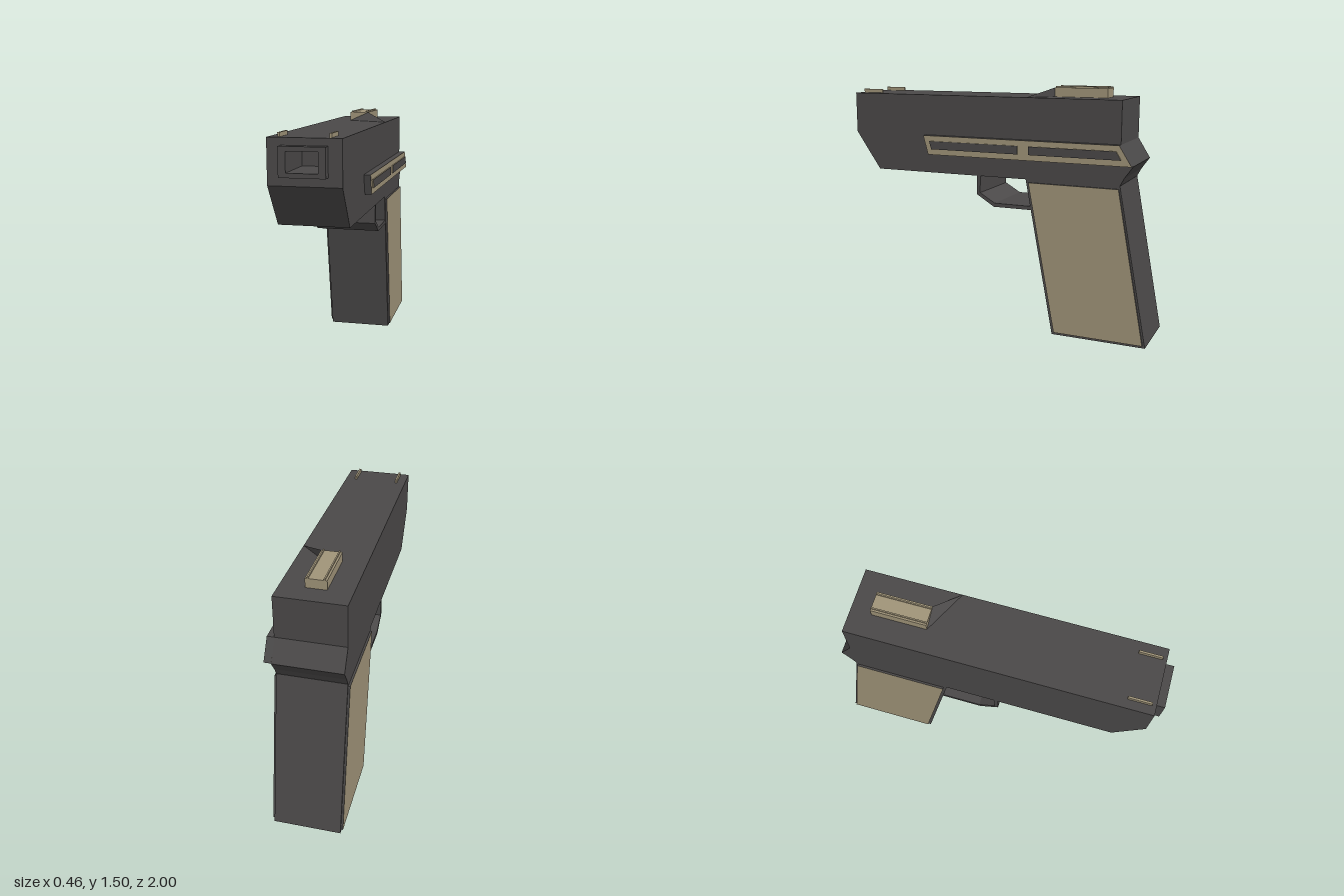
import * as THREE from 'three';
import { ConvexGeometry } from 'three/addons/geometries/ConvexGeometry.js';

const paint = (color) => new THREE.MeshStandardMaterial({ color, flatShading: true });
const LEFT = 0.18, RIGHT = -0.22, MID = -0.02, TOP = 1.44;
const RAKE = 0.188; // how far the grip leans back per unit of height

export function createModel() {
  const group = new THREE.Group();
  const dark = paint(0x4b4949), tan = paint(0xa09479);

  const add = (name, geometry, material) => {
    const mesh = new THREE.Mesh(geometry, material);
    mesh.name = name;
    group.add(mesh);
    return mesh;
  };
  const toShape = (points) => new THREE.Shape(points.map(([a, b]) => new THREE.Vector2(a, b)));
  const rect = (x0, y0, x1, y1) => [[x0, y0], [x1, y0], [x1, y1], [x0, y1]];

  // Side profile of [z, y] points, extruded across x
  const profile = (name, points, x0, x1, material) => {
    const geometry = new THREE.ExtrudeGeometry(toShape(points), { depth: x1 - x0, bevelEnabled: false });
    geometry.rotateY(-Math.PI / 2).translate(x1, 0, 0);
    return add(name, geometry, material);
  };
  // Rectangular tube along the extrusion axis
  const tube = (outer, inner, depth) => {
    const shape = toShape(outer);
    shape.holes.push(toShape(inner));
    return new THREE.ExtrudeGeometry(shape, { depth, bevelEnabled: false });
  };
  const box = (name, x0, x1, y0, y1, z0, z1, material) =>
    add(name, new THREE.BoxGeometry(x1 - x0, y1 - y0, z1 - z0)
      .translate((x0 + x1) / 2, (y0 + y1) / 2, (z0 + z1) / 2), material);
  // Lean a geometry back towards its foot
  const lean = (geometry) => {
    const p = geometry.attributes.position;
    for (let i = 0; i < p.count; i++) p.setZ(i, p.getZ(i) + RAKE * p.getY(i));
    geometry.computeVertexNormals();
    return geometry;
  };

  // Body with rear ridge and sloped nose; the upper nose is a hollow block
  profile('body', [
    [0.7, TOP], [-0.82, TOP], [-0.82, 1.19], [-0.895, 1.07], [-0.845, 1.0],
    [-0.82, 0.953], [0.785, 0.953], [0.95, 1.19], [0.7, 1.19],
  ], RIGHT, LEFT, dark);
  const bore = rect(-0.105, 1.265, 0.065, 1.375);
  add('nose', tube(rect(RIGHT, 1.19, LEFT, TOP), bore, 0.25).translate(0, 0, 0.7), dark);
  add('muzzle', tube(rect(-0.145, 1.24, 0.105, 1.4), bore, 0.05).translate(0, 0, 0.95), dark);

  // Leaning hollow grip with a tan lining
  const zFront = -0.42, zBack = -1, wall = 0.06;
  const grip = tube(rect(RIGHT, -zFront, LEFT, -zBack),
    rect(RIGHT + wall, -zFront + wall, LEFT - wall, -zBack - wall), 0.953);
  add('grip', lean(grip.rotateX(-Math.PI / 2)), dark);

  const lining = new THREE.BoxGeometry(0.279, 0.75, 0.459);
  const faces = Array.from(lining.index.array);
  lining.setIndex([...faces.slice(0, 18), ...faces.slice(24)]); // open at the bottom
  lining.scale(-1, 1, 1).translate(MID, 0.376, (zFront + zBack) / 2);
  add('gripLining', lean(lining), tan);

  // Grip side panels
  const panel = [[-0.262, 0.935], [-0.815, 0.935], [-0.985, 0.016], [-0.436, 0.016]];
  profile('leftGripPanel', panel, LEFT - 0.002, LEFT + 0.012, [tan, dark]);
  profile('rightGripPanel', panel, RIGHT - 0.012, RIGHT + 0.002, [tan, dark]);

  // Full-width trigger guard strip
  profile('triggerGuard', [
    [0.082, 0.955], [0.085, 0.838], [-0.03, 0.767], [-0.29, 0.767],
    [-0.29, 0.79], [-0.037, 0.79], [0.062, 0.848], [0.06, 0.955],
  ], RIGHT, LEFT, dark);

  // Side rail on the left only, with two raised inserts
  profile('sideRail', [[0.435, 1.19], [-0.82, 1.19], [-0.895, 1.072], [0.402, 1.072]],
    LEFT - 0.002, 0.22, [tan, dark]);
  profile('frontRailInsert', [[0.39, 1.157], [-0.205, 1.157], [-0.205, 1.107], [0.375, 1.107]],
    0.218, 0.228, [dark, tan]);
  profile('rearRailInsert', [[-0.275, 1.157], [-0.805, 1.157], [-0.835, 1.107], [-0.275, 1.107]],
    0.218, 0.228, [dark, tan]);

  // Rear sight: block, two thin ridges and a skewed ramp in front
  box('rearSight', -0.08, 0.04, TOP - 0.01, 1.495, -0.695, -0.37, tan);
  for (const x of [-0.065, 0.025])
    box('rearSightRidge', x - 0.004, x + 0.004, 1.49, 1.503, -0.695, -0.37, tan);
  add('rearSightRamp', new ConvexGeometry([
    [-0.08, TOP, -0.37], [0.04, TOP, -0.37], [0.04, 1.494, -0.37], [0.18, TOP, -0.24],
  ].map((p) => new THREE.Vector3(...p))), dark);

  // Front sight blades
  for (const x of [-0.162, 0.113])
    box('frontSight', x - 0.006, x + 0.006, TOP - 0.01, 1.463, 0.79, 0.925, tan);

  return group;
}
